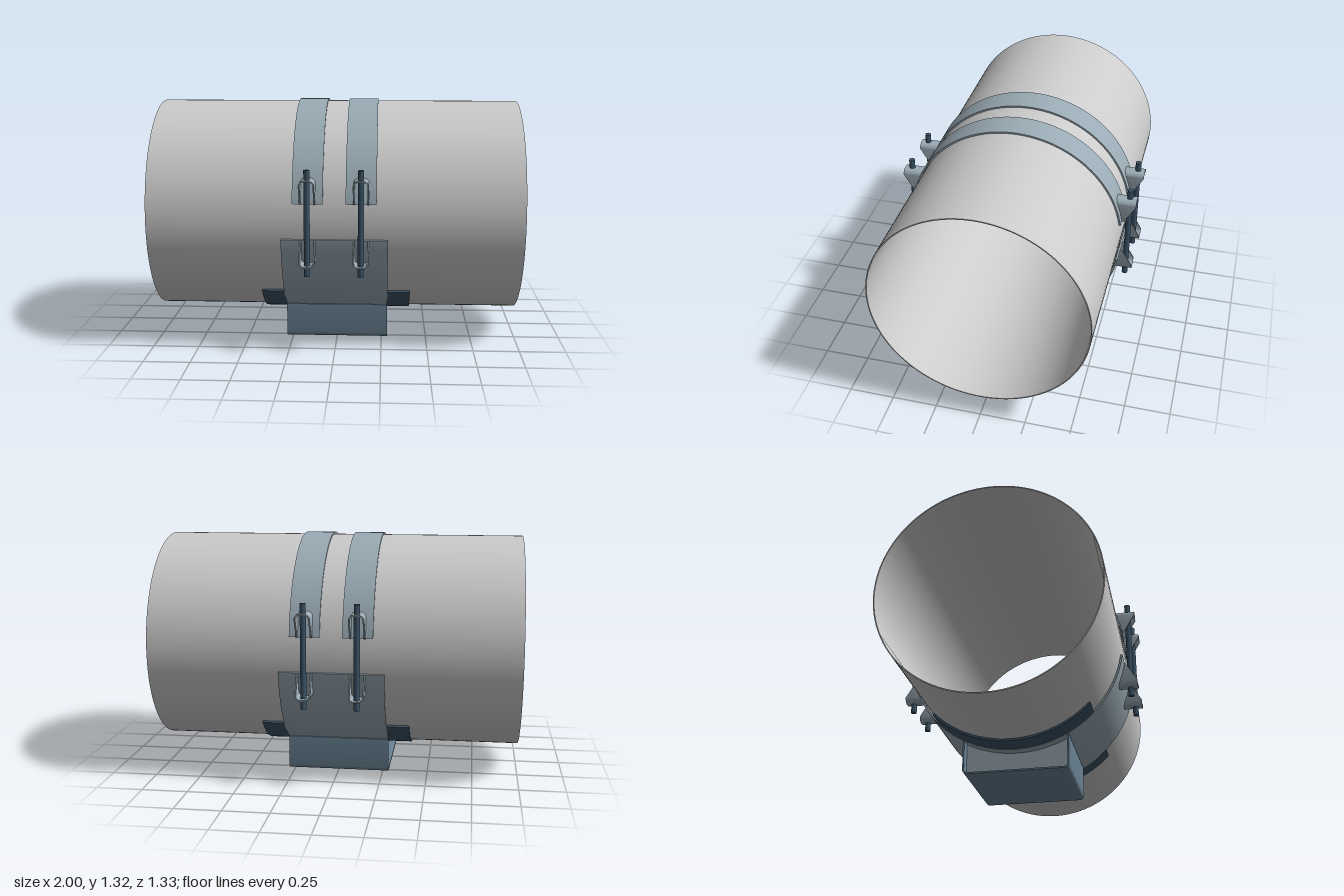
import * as THREE from 'three';
import { toCreasedNormals } from 'three/addons/utils/BufferGeometryUtils.js';

const CY = 0.723; // height of the pipe axis
const R = 0.588; // pipe outer radius

const material = (color) => new THREE.MeshStandardMaterial({ color, side: THREE.DoubleSide });
const pipeMat = material(0xcccccc);
const clampMat = material(0x9aabb5);
const channelMat = material(0x6a8496);
const darkMat = material(0x3c5468);

function add(parent, name, geometry, mat) {
  const mesh = new THREE.Mesh(geometry, mat);
  mesh.name = name;
  parent.add(mesh);
  return mesh;
}

// Extrude a cross-section (drawn across the pipe) along x, centred on cx
function alongX(shape, width, cx = 0) {
  const geo = new THREE.ExtrudeGeometry(shape, { depth: width, bevelEnabled: false, curveSegments: 64 });
  geo.translate(0, 0, -width / 2).rotateY(Math.PI / 2).translate(cx, 0, 0);
  return toCreasedNormals(geo, 0.5);
}

// Curved sheet around the pipe: mid is the middle angle, half the half-angle
function arcSheet(r0, r1, mid, half) {
  const s = new THREE.Shape();
  s.absarc(0, CY, r1, mid - half, mid + half, false);
  s.absarc(0, CY, r0, mid + half, mid - half, true);
  s.closePath();
  return s;
}

// Folded U-shaped lug, tapering down to the strap; y is relative to the pipe axis
function lugGeometry() {
  const w = 0.042, y0 = 0.097, y1 = 0.232, r = 0.03, t = 0.008;
  const s = new THREE.Shape();
  s.moveTo(-w, y0);
  s.lineTo(-w + t, y0);
  s.lineTo(-w + t, y1 - r);
  s.absarc(-w + r, y1 - r, r - t, Math.PI, Math.PI / 2, true);
  s.absarc(w - r, y1 - r, r - t, Math.PI / 2, 0, true);
  s.lineTo(w - t, y0);
  s.lineTo(w, y0);
  s.lineTo(w, y1 - r);
  s.absarc(w - r, y1 - r, r, 0, Math.PI / 2, false);
  s.absarc(-w + r, y1 - r, r, Math.PI / 2, Math.PI, false);
  s.closePath();
  const geo = new THREE.ExtrudeGeometry(s, { depth: 1, bevelEnabled: false, curveSegments: 8 });
  const p = geo.attributes.position;
  for (let i = 0; i < p.count; i++) {
    const y = p.getY(i);
    const inner = Math.sqrt(0.592 ** 2 - y * y);
    const slope = Math.min(1, (y - y0) / (y1 - r - y0));
    p.setZ(i, p.getZ(i) > 0.5 ? 0.6 + 0.063 * slope : inner);
  }
  geo.computeVertexNormals();
  return toCreasedNormals(geo, 0.6);
}

export function createModel() {
  const model = new THREE.Group();
  model.name = 'pipeSupport';

  // Thin-walled pipe
  const pipe = new THREE.Shape();
  pipe.absarc(0, CY, R, 0, Math.PI * 2, false);
  const bore = new THREE.Path();
  bore.absarc(0, CY, R - 0.006, 0, Math.PI * 2, true);
  pipe.holes.push(bore);
  add(model, 'pipe', alongX(pipe, 2), pipeMat);

  // Wear pad and cradle below the pipe
  add(model, 'wearPad', alongX(arcSheet(R, 0.6, -Math.PI / 2, 0.796), 0.81), darkMat);
  add(model, 'cradle', alongX(arcSheet(0.592, 0.603, -Math.PI / 2, 1.415), 0.565), clampMat);

  // Base channel, open at both ends, with rounded bottom corners
  const W = 0.29, H = 0.19, t = 0.009, r = 0.026;
  const u = new THREE.Shape();
  u.moveTo(-W, H);
  u.lineTo(-W, r);
  u.absarc(-W + r, r, r, Math.PI, Math.PI * 1.5, false);
  u.absarc(W - r, r, r, Math.PI * 1.5, Math.PI * 2, false);
  u.lineTo(W, H);
  u.lineTo(W - t, H);
  u.lineTo(W - t, r);
  u.absarc(W - r, r, r - t, 0, -Math.PI / 2, true);
  u.absarc(-W + r, r, r - t, -Math.PI / 2, -Math.PI, true);
  u.lineTo(-W + t, H);
  u.closePath();
  add(model, 'baseChannel', alongX(u, 0.565), channelMat);

  // Web plates inside the channel, shaped to the cradle
  const wz = W - t, a = Math.asin(wz / 0.601);
  const web = new THREE.Shape();
  web.moveTo(-wz + 0.012, t);
  web.lineTo(wz - 0.012, t);
  web.lineTo(wz, t + 0.012);
  web.absarc(0, CY, 0.601, -Math.PI / 2 + a, -Math.PI / 2 - a, true);
  web.lineTo(-wz, t + 0.012);
  web.closePath();
  for (const x of [-0.22, 0.22]) add(model, 'webPlate', alongX(web, 0.01, x), clampMat);

  // Two clamps: strap over the top, lugs and a threaded rod on each side
  const lug = lugGeometry();
  const rod = new THREE.CylinderGeometry(0.016, 0.016, 0.565, 20);
  for (const x of [-0.141, 0.141]) {
    const clamp = new THREE.Group();
    clamp.name = 'clamp';
    model.add(clamp);
    add(clamp, 'strap', alongX(arcSheet(0.59, 0.599, Math.PI / 2, 1.408), 0.162, x), clampMat);
    for (const turn of [0, Math.PI]) {
      const side = new THREE.Group();
      side.name = turn ? 'backTensioner' : 'frontTensioner';
      side.position.set(x, CY, 0);
      side.rotation.y = turn;
      clamp.add(side);
      add(side, 'upperLug', lug, clampMat);
      add(side, 'lowerLug', lug, clampMat).rotation.z = Math.PI;
      add(side, 'tensionRod', rod, darkMat).position.z = 0.623;
    }
  }
  return model;
}
